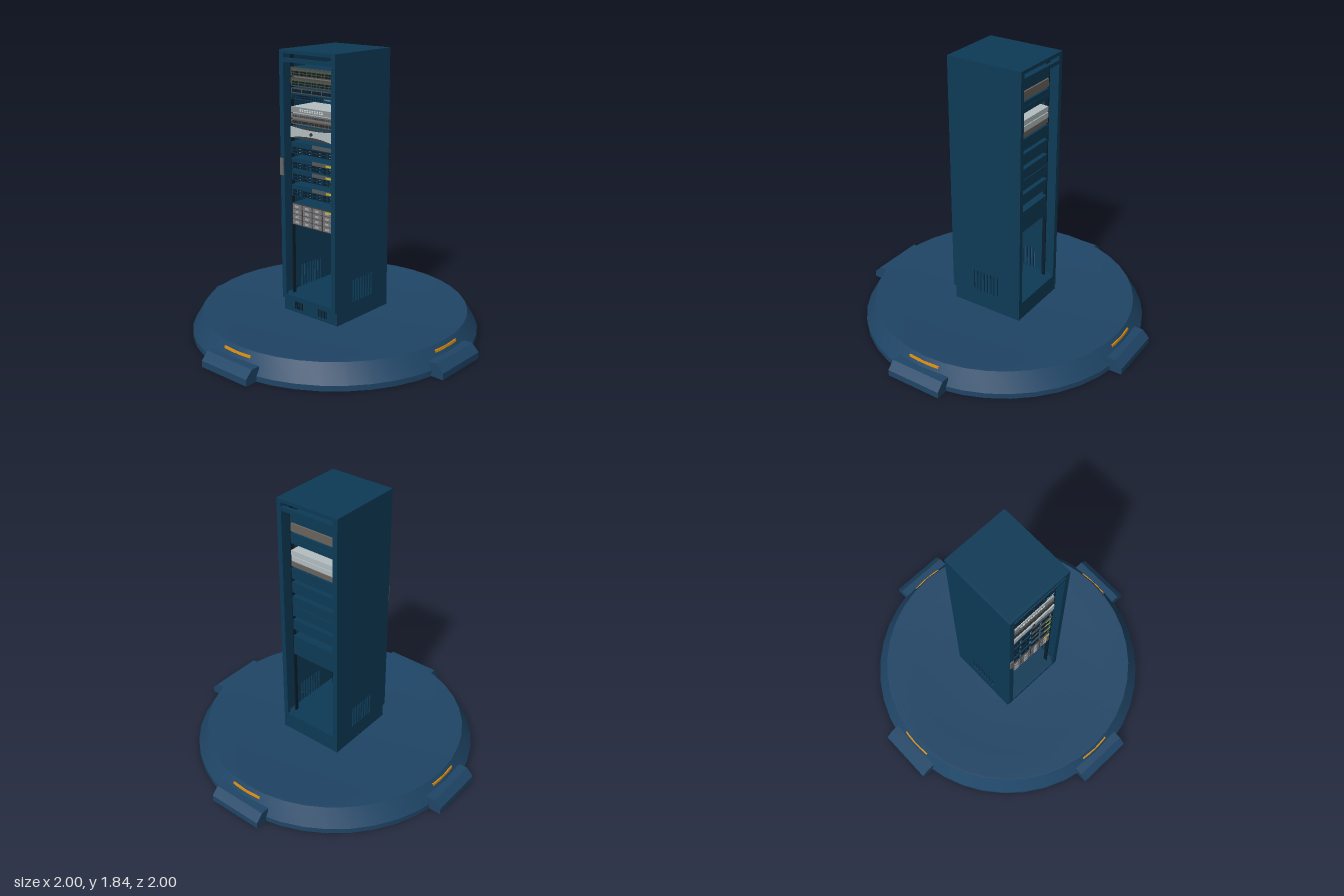
import * as THREE from 'three';
import { toCreasedNormals } from 'three/addons/utils/BufferGeometryUtils.js';

const mats = {};
function mat(color) {
  return (mats[color] ??= new THREE.MeshStandardMaterial({ color, side: THREE.DoubleSide }));
}
const NAVY = 0x0d3b57, BASE = 0x1f4566, DARK = 0x0a1e2c, GREY = 0x666666, SILVER = 0xb4bfc2, ORANGE = 0xd98c10;

function add(parent, name, geo, color) {
  const m = new THREE.Mesh(geo, mat(color));
  m.name = name;
  parent.add(m);
  return m;
}

// Box given by its minimum and maximum corners
function box(parent, name, color, x0, x1, y0, y1, z0, z1) {
  const m = add(parent, name, new THREE.BoxGeometry(x1 - x0, y1 - y0, z1 - z0), color);
  m.position.set((x0 + x1) / 2, (y0 + y1) / 2, (z0 + z1) / 2);
  return m;
}

function group(parent, name) {
  const g = new THREE.Group();
  g.name = name;
  parent.add(g);
  return g;
}

function shape(points) {
  return new THREE.Shape(points.map(([x, y]) => new THREE.Vector2(x, y)));
}

// Hollow, dished round stand with four edge brackets and light strips
function buildBase(root) {
  const base = group(root, 'base');
  const profile = [[0.94, 0], [0.94, 0.035], [0.872, 0.15], [0.858, 0.15], [0.7, 0.13], [0, 0.13]];
  const disc = new THREE.LatheGeometry(profile.map(([r, y]) => new THREE.Vector2(r, y)), 40);
  add(base, 'dishedDisc', toCreasedNormals(disc, 0.2), BASE);

  const shell = shape([[0.98, 0], [1, 0], [1, 0.042], [0.952, 0.09], [0.895, 0.09], [0.895, 0.078], [0.945, 0.078], [0.98, 0.04]]);
  const cheek = shape([[0.9, 0], [1, 0], [1, 0.042], [0.952, 0.09], [0.895, 0.09]]);
  const shellGeo = new THREE.ExtrudeGeometry(shell, { depth: 0.38, bevelEnabled: false }).translate(0, 0, -0.19);
  const cheekGeo = new THREE.ExtrudeGeometry(cheek, { depth: 0.015, bevelEnabled: false });
  const strip = [[0.87, 0.11], [0.895, 0.11], [0.892, 0.125], [0.87, 0.125], [0.87, 0.11]];
  const stripGeo = toCreasedNormals(new THREE.LatheGeometry(
    strip.map(([r, y]) => new THREE.Vector2(r, y)), 6, Math.PI / 2 - 0.125, 0.25), 0.4);

  for (let i = 0; i < 4; i++) {
    const side = group(base, 'edgeBracket');
    side.rotation.y = i * Math.PI / 2;
    add(side, 'bracketShell', shellGeo, BASE);
    for (const z of [-0.192, 0.177]) add(side, 'bracketCheek', cheekGeo, BASE).position.z = z;
    add(side, 'lightStrip', stripGeo, ORANGE);
  }
}

// Open-ended cabinet with vented sides
function buildCabinet(root) {
  const cab = group(root, 'cabinet');
  const panel = shape([[-0.265, 0.125], [0.24, 0.125], [0.24, 1.84], [-0.265, 1.84]]);
  for (let i = 0; i < 8; i++) {
    const z = -0.105 + i * 0.026;
    panel.holes.push(new THREE.Path([[z, 0.25], [z, 0.4], [z + 0.014, 0.4], [z + 0.014, 0.25]]
      .map(([x, y]) => new THREE.Vector2(x, y))));
  }
  const panelGeo = new THREE.ExtrudeGeometry(panel, { depth: 0.012, bevelEnabled: false });
  panelGeo.rotateY(-Math.PI / 2);
  add(cab, 'leftPanel', panelGeo, NAVY).position.x = 0.225;
  add(cab, 'rightPanel', panelGeo, NAVY).position.x = -0.218;
  box(cab, 'roof', NAVY, -0.23, 0.225, 1.818, 1.84, -0.265, 0.24);
  box(cab, 'floor', NAVY, -0.218, 0.213, 0.225, 0.25, -0.26, 0.24);
  box(cab, 'plinth', NAVY, -0.228, 0.223, 0.125, 0.222, -0.263, 0.238);

  // Front frame, overhanging the plinth, and matching rear frame
  for (const [z0, z1] of [[0.24, 0.26], [-0.265, -0.24]]) {
    const frame = group(cab, 'frame');
    box(frame, 'rightPost', NAVY, -0.23, -0.196, 0.22, 1.84, z0, z1);
    box(frame, 'leftPost', NAVY, 0.193, 0.225, 0.22, 1.84, z0, z1);
    box(frame, 'topBar', NAVY, -0.196, 0.193, 1.818, 1.84, z0, z1);
    box(frame, 'crossBar', NAVY, -0.196, 0.193, 1.765, 1.79, z0, z1);
    box(frame, 'bottomBar', NAVY, -0.196, 0.193, 0.22, 0.25, z0, z1);
  }

  // Mounting rails
  for (const x of [-0.181, 0.171])
    for (const z of [0.19, -0.21]) box(cab, 'mountingRail', DARK, x, x + 0.007, 0.25, 1.82, z, z + 0.025);

  // Plinth grilles
  for (const x of [-0.14, 0.065])
    for (let i = 0; i < 6; i++)
      box(cab, 'grilleSlot', DARK, x + i * 0.0125, x + i * 0.0125 + 0.007, 0.155, 0.205, 0.236, 0.241);
  box(cab, 'handle', GREY, -0.228, -0.2, 1.05, 1.16, 0.258, 0.268);
}

const X0 = -0.176, X1 = 0.171, FRONT = 0.215, W = X1 - X0;

function unit(root, name, y0, y1, bodyColor, faceColor) {
  const g = group(root, name);
  box(g, 'body', bodyColor, X0, X1, y0, y1, -0.21, FRONT - 0.006);
  box(g, 'facePlate', faceColor, X0, X1, y0, y1, FRONT - 0.006, FRONT);
  return g;
}

// Grid of small blocks over a unit's face, u0..u1 as fractions of the width
function cells(g, name, color, u0, u1, y0, y1, cols, rows, fill = 0.7, depth = 0.003) {
  const dx = (u1 - u0) * W / cols, dy = (y1 - y0) / rows;
  for (let c = 0; c < cols; c++)
    for (let r = 0; r < rows; r++) {
      const x = X0 + u0 * W + (c + 0.5) * dx, y = y0 + (r + 0.5) * dy;
      box(g, name, color, x - dx * fill / 2, x + dx * fill / 2, y - dy * fill / 2, y + dy * fill / 2, FRONT - 0.001, FRONT + depth);
    }
}

function buildEquipment(root) {
  const eq = group(root, 'equipment');

  // Network switches
  for (const [y0, y1, color] of [[1.678, 1.732, NAVY], [1.616, 1.67, 0x6a645e]]) {
    const s = unit(eq, 'networkSwitch', y0, y1, color, 0x4c4c4a);
    cells(s, 'port', 0x14241f, 0.03, 0.97, y0 + 0.004, y0 + 0.034, 24, 2);
    cells(s, 'portLight', 0x3f7a55, 0.03, 0.97, y0 + 0.034, y0 + 0.044, 24, 1, 0.5);
  }
  const patch = unit(eq, 'patchPanel', 1.573, 1.605, NAVY, 0x4a4a4a);
  cells(patch, 'slot', DARK, 0.02, 0.98, 1.578, 1.6, 4, 1, 0.85);
  const router = unit(eq, 'router', 1.535, 1.571, NAVY, NAVY);
  cells(router, 'port', DARK, 0.03, 0.78, 1.54, 1.566, 16, 2);
  cells(router, 'portLight', 0x6d9fc0, 0.8, 0.98, 1.55, 1.56, 5, 1);

  // Pale appliance and two grey ones below it
  const pale = unit(eq, 'paleAppliance', 1.452, 1.487, SILVER, 0x8b9394);
  cells(pale, 'port', 0xd5e4e6, 0.2, 0.78, 1.46, 1.48, 10, 2, 0.6);
  const mid = unit(eq, 'greyAppliance', 1.415, 1.447, SILVER, 0x777777);
  cells(mid, 'vent', 0x4a4a4a, 0.03, 0.97, 1.42, 1.442, 20, 1, 0.6);
  const low = unit(eq, 'greyAppliance', 1.378, 1.41, 0x6a645e, 0x5a5a5a);
  cells(low, 'slot', 0x2c2c2c, 0.03, 0.97, 1.384, 1.404, 12, 1, 0.8);

  // Storage head with a waisted silver bezel
  const head = unit(eq, 'storageHead', 1.29, 1.365, NAVY, 0x3a3f42);
  const bezel = new THREE.Shape();
  bezel.moveTo(X0, 1.293);
  bezel.quadraticCurveTo(0, 1.33, X1, 1.293);
  bezel.lineTo(X1, 1.362);
  bezel.quadraticCurveTo(0, 1.34, X0, 1.362);
  add(head, 'bezel', new THREE.ExtrudeGeometry(bezel, { depth: 0.008, bevelEnabled: false }), SILVER).position.z = FRONT;
  const knob = add(head, 'knob', new THREE.CylinderGeometry(0.011, 0.011, 0.006, 16).rotateX(Math.PI / 2), 0x333333);
  knob.position.set(0, 1.33, FRONT + 0.009);

  // Servers with drive bays, lit handles and tags
  for (const [y0, y1, tagged] of [[1.19, 1.265, false], [1.092, 1.162, true], [1.017, 1.087, true], [0.915, 0.988, true]]) {
    const s = unit(eq, 'server', y0, y1, NAVY, NAVY);
    cells(s, 'driveBay', DARK, 0.02, 0.98, y0 + 0.003, y0 + 0.045, 8, 2, 0.8);
    cells(s, 'driveHandle', tagged ? 0x2c93b0 : 0x8a8f92, 0.1, 1.06, y0 + 0.003, y0 + 0.045, 4, 2, 0.15, 0.005);
    box(s, 'controlPanel', 0x55585a, 0.0, X1, y1 - 0.026, y1 - 0.002, FRONT - 0.001, FRONT + 0.003);
    if (tagged) box(s, 'tag', 0xc9b820, 0.115, 0.16, y1 - 0.02, y1 - 0.008, FRONT, FRONT + 0.005);
  }

  // Disk shelf: four columns of drive trays
  const shelf = unit(eq, 'diskShelf', 0.722, 0.865, NAVY, 0x3c3c3c);
  cells(shelf, 'driveTray', 0x77777a, 0.01, 0.99, 0.725, 0.862, 4, 4, 0.88);
  cells(shelf, 'trayGrip', 0xa8a8a8, 0.01, 0.99, 0.725, 0.862, 4, 4, 0.35, 0.006);
  box(shelf, 'tag', 0xc9b820, 0.115, 0.16, 0.848, 0.858, FRONT, FRONT + 0.007);
}

export function createModel() {
  const root = new THREE.Group();
  root.name = 'serverRackOnStand';
  buildBase(root);
  buildCabinet(root);
  buildEquipment(root);
  return root;
}
